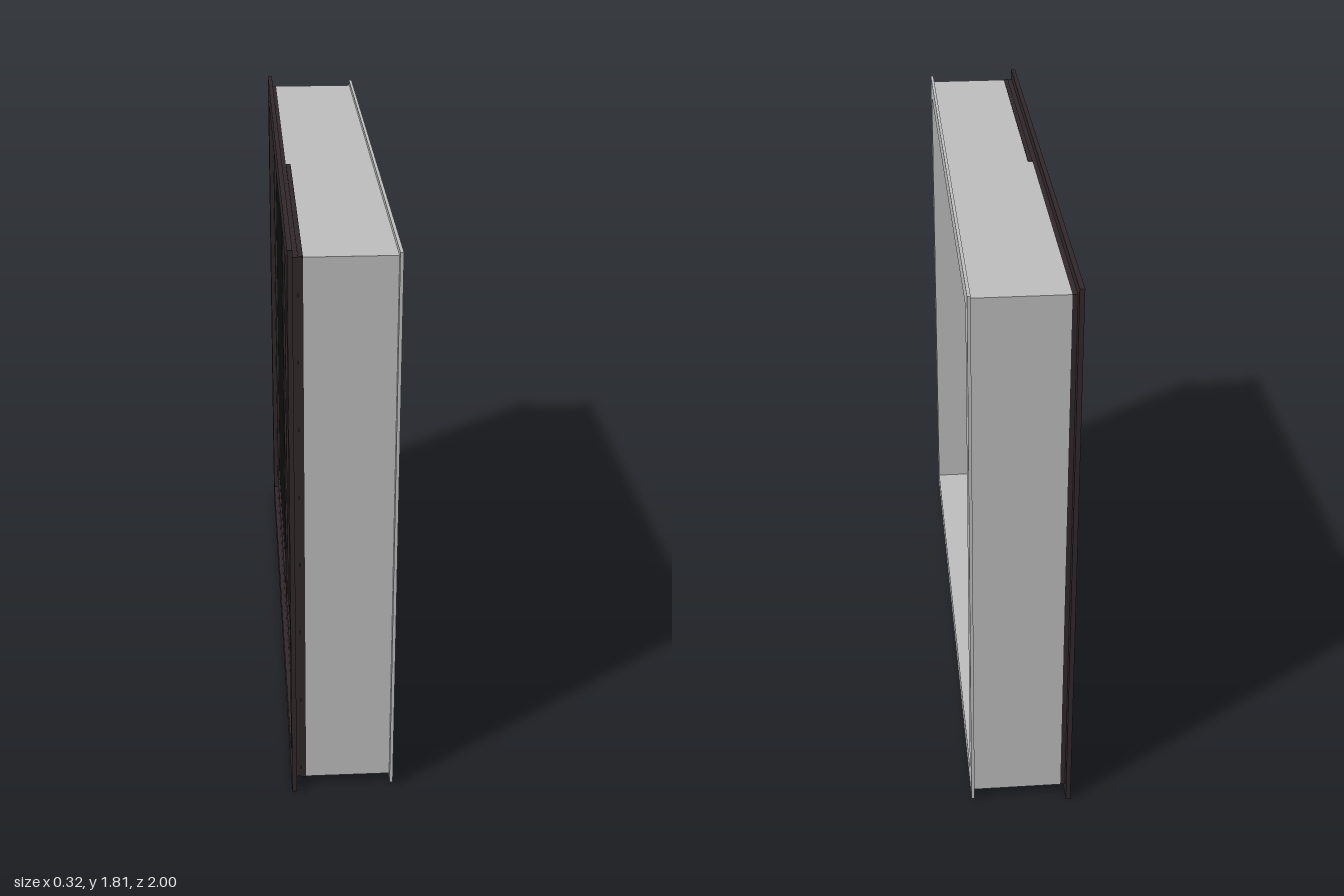
import * as THREE from 'three';

const paint = (name, color) => Object.assign(new THREE.MeshStandardMaterial({ color }), { name });

export function createModel() {
  const grey = paint('light grey', 0xbebebe);
  const dark = paint('dark brown', 0x30282a);
  const black = paint('black glass', 0x0d0d0d);
  const model = new THREE.Group();
  model.name = 'window';

  const add = (parent, name, geometry, material, x = 0, y = 0, z = 0) => {
    const mesh = new THREE.Mesh(geometry, material);
    mesh.name = name;
    mesh.position.set(x, y, z);
    parent.add(mesh);
    return mesh;
  };

  // Rectangles are [z0, z1, y0, y1]
  const trace = (path, [z0, z1, y0, y1]) => {
    path.moveTo(-z1, y0);
    path.lineTo(-z0, y0);
    path.lineTo(-z0, y1);
    path.lineTo(-z1, y1);
    path.closePath();
    return path;
  };

  // Upright slab in the z-y plane with rectangular holes, from x0 to x1
  const slab = (parent, name, material, x0, x1, outer, ...holes) => {
    const shape = trace(new THREE.Shape(), outer);
    holes.forEach(h => shape.holes.push(trace(new THREE.Path(), h)));
    const geometry = new THREE.ExtrudeGeometry(shape, { depth: x1 - x0, bevelEnabled: false });
    geometry.rotateY(Math.PI / 2);
    return add(parent, name, geometry, material, x0);
  };

  const opening = [-0.922, 0.925, 0.08, 1.735];
  const body = [-0.97, 0.97, 0.035, 1.78];
  const fixedPane = [-0.855, 0.015, 0.15, 1.66];
  const sashHole = [0.105, 0.855, 0.15, 1.66];
  const sashPane = [0.15, 0.805, 0.2, 1.61];

  // Deep wall lining and room-side trim
  slab(model, 'lining', grey, -0.13, 0.15, body, opening);
  slab(model, 'innerTrim', grey, 0.15, 0.16, [-0.99, 0.99, 0.015, 1.795], opening);

  // Outer flange and frame, dark outside and grey inside
  slab(model, 'outerFlange', dark, -0.16, -0.145, [-1, 1, 0, 1.81], opening);
  slab(model, 'outerFrame', dark, -0.145, -0.13, body, fixedPane, sashHole);
  slab(model, 'innerFrame', grey, -0.13, -0.085, opening, fixedPane, sashHole);

  // Dark edge strips around the sash half
  for (const [name, y] of [['topEdge', 1.78], ['bottomEdge', 0.035]]) {
    add(model, name, new THREE.BoxGeometry(0.015, 0.004, 0.89), dark, -0.1225, y, 0.525);
  }
  add(model, 'sideEdge', new THREE.BoxGeometry(0.015, 1.745, 0.004), dark, -0.1225, 0.9075, 0.97);

  slab(model, 'fixedGlass', black, -0.138, -0.1, fixedPane);

  // Opening sash
  const sash = new THREE.Group();
  sash.name = 'sash';
  model.add(sash);
  slab(sash, 'outerSash', dark, -0.14, -0.1, sashHole, sashPane);
  slab(sash, 'innerSash', grey, -0.1, -0.062, [0.07, 0.89, 0.115, 1.695], sashPane);
  slab(sash, 'sashGlass', black, -0.115, -0.08, sashPane);

  // Handle: rounded base, neck and hanging lever
  const handle = new THREE.Group();
  handle.name = 'handle';
  handle.position.set(-0.062, 0.915, 0.11);
  sash.add(handle);
  add(handle, 'handleBase', new THREE.CapsuleGeometry(0.011, 0.025, 6, 16).scale(0.6, 1, 1), grey, 0.002, -0.008);
  add(handle, 'handleNeck', new THREE.CylinderGeometry(0.007, 0.007, 0.045, 16).rotateZ(Math.PI / 2), grey, 0.0225);
  add(handle, 'handleLever', new THREE.BoxGeometry(0.012, 0.138, 0.016), grey, 0.042, -0.066);

  return model;
}
